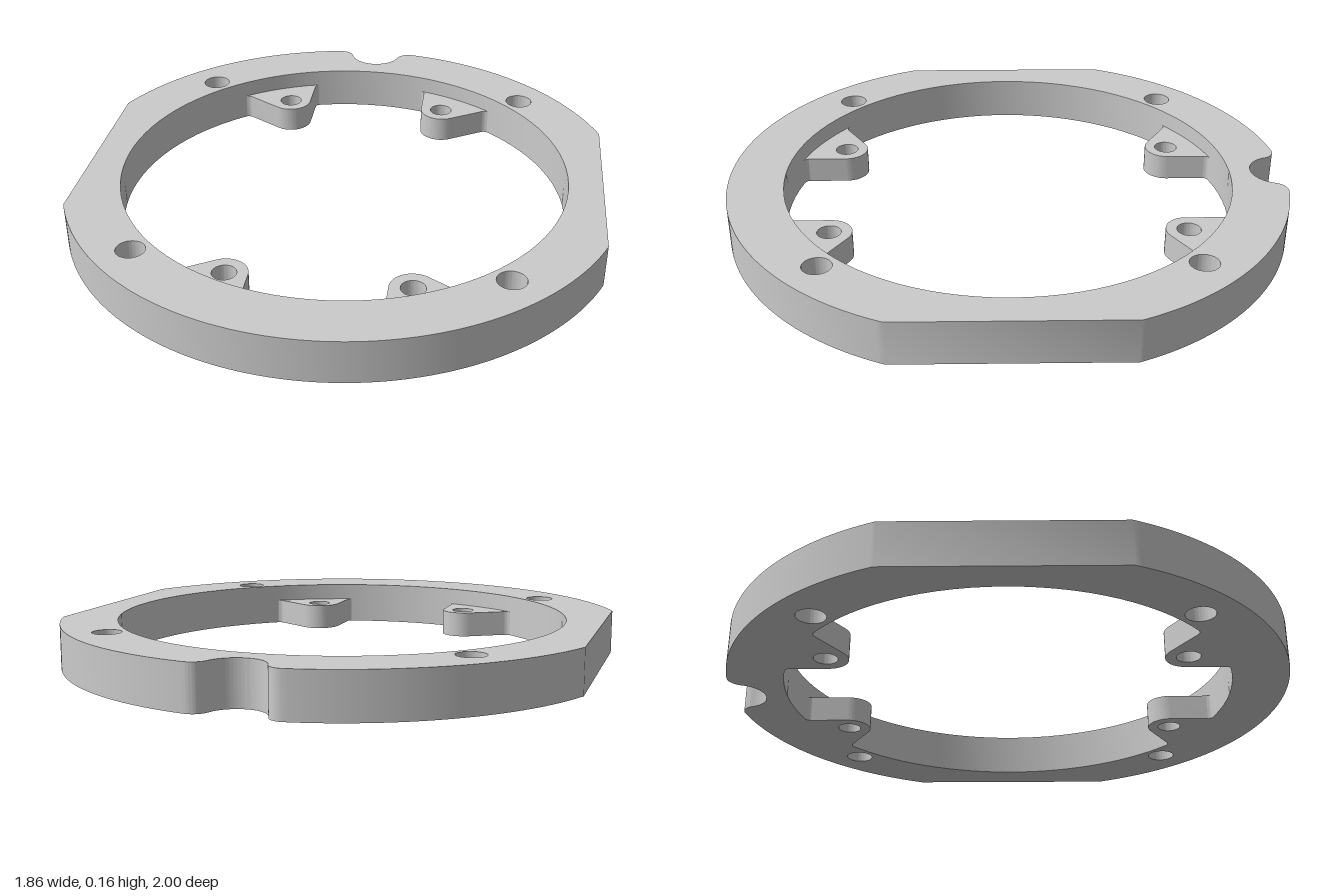
import * as THREE from 'three';
import { toCreasedNormals } from 'three/addons/utils/BufferGeometryUtils.js';

const OUTER = 1.007, INNER = 0.807, FLAT = 0.93;
const RING_HEIGHT = 0.157, TAB_HEIGHT = 0.095;
const HOLE = 0.62, TAB_X = 0.31, TAB_R = 0.08;

const material = new THREE.MeshStandardMaterial({ color: 0xcccccc });

function circle(x, y, r) {
  return new THREE.Path().absarc(x, y, r, 0, Math.PI * 2, false);
}

// Extrudes a plan outline upward from y = 0 (outline y points to the back)
function plate(name, shape, depth) {
  const geo = new THREE.ExtrudeGeometry(shape, { depth, bevelEnabled: false, curveSegments: 48 });
  geo.rotateX(-Math.PI / 2);
  const mesh = new THREE.Mesh(toCreasedNormals(geo, 0.5), material);
  mesh.name = name;
  return mesh;
}

// Ring outline: two side flats and a rounded notch at the back
function ringShape() {
  const flatY = Math.sqrt(OUTER * OUTER - FLAT * FLAT);
  const flatA = Math.atan2(flatY, FLAT);
  const notchY = 0.985, notchR = 0.1, filletR = 0.055;
  // Fillet centre touches the outer circle from inside and the notch from outside
  const a = OUTER - filletR, b = notchR + filletR;
  const fy = (a * a - b * b + notchY * notchY) / (2 * notchY);
  const fx = Math.sqrt(a * a - fy * fy);
  const outerA = Math.atan2(fy, fx);
  const notchA = Math.atan2(fy - notchY, fx);

  const s = new THREE.Shape();
  s.moveTo(FLAT, -flatY);
  s.lineTo(FLAT, flatY);
  s.absarc(0, 0, OUTER, flatA, outerA, false);
  s.absarc(fx, fy, filletR, outerA, notchA + Math.PI, false);
  s.absarc(0, notchY, notchR, notchA, -Math.PI - notchA, true);
  s.absarc(-fx, fy, filletR, -notchA, Math.PI - outerA, false);
  s.absarc(0, 0, OUTER, Math.PI - outerA, Math.PI - flatA, false);
  s.lineTo(-FLAT, -flatY);
  s.absarc(0, 0, OUTER, Math.PI + flatA, Math.PI * 2 - flatA, false);

  s.holes.push(circle(0, 0, INNER));
  for (const sx of [-1, 1])
    for (const sy of [-1, 1]) s.holes.push(circle(sx * HOLE, sy * HOLE, 0.05));
  return s;
}

// Tab outline: rounded tip, straight inner side, slanted outer side, blended into the bore
function tabShape(sx, sy) {
  const onBore = (x) => Math.sqrt(INNER * INNER - x * x);
  const x0 = 0.215, x1 = 0.517;
  const inner = TAB_X - TAB_R;
  const p = new THREE.Path();
  p.moveTo(x0, onBore(x0));
  p.quadraticCurveTo(inner, onBore(inner), inner, 0.757);
  p.lineTo(inner, HOLE);
  p.absarc(TAB_X, HOLE, TAB_R, Math.PI, Math.PI * 2 - 1.012, false);
  p.lineTo(0.474, 0.628);
  p.quadraticCurveTo(0.497, 0.643, x1, onBore(x1));
  p.absarc(0, 0, INNER, Math.atan2(onBore(x1), x1), Math.atan2(onBore(x0), x0), false);

  const pts = p.getPoints(16).map((v) => new THREE.Vector2(v.x * sx, v.y * sy));
  pts.pop(); // the outline closes on its first point
  const s = new THREE.Shape(pts);
  s.holes.push(circle(sx * TAB_X, sy * HOLE, 0.042));
  return s;
}

export function createModel() {
  const model = new THREE.Group();
  model.name = 'mountingRing';
  model.add(plate('ring', ringShape(), RING_HEIGHT));

  // Four thin mounting tabs inside the bore, flush with the underside
  for (const sx of [1, -1])
    for (const sy of [1, -1]) {
      const name = (sy > 0 ? 'back' : 'front') + (sx > 0 ? 'Left' : 'Right') + 'Tab';
      model.add(plate(name, tabShape(sx, sy), TAB_HEIGHT));
    }

  // The notch shortens the back, so the bore sits slightly behind the middle
  for (const part of model.children) part.position.z = 1 - OUTER;
  return model;
}
